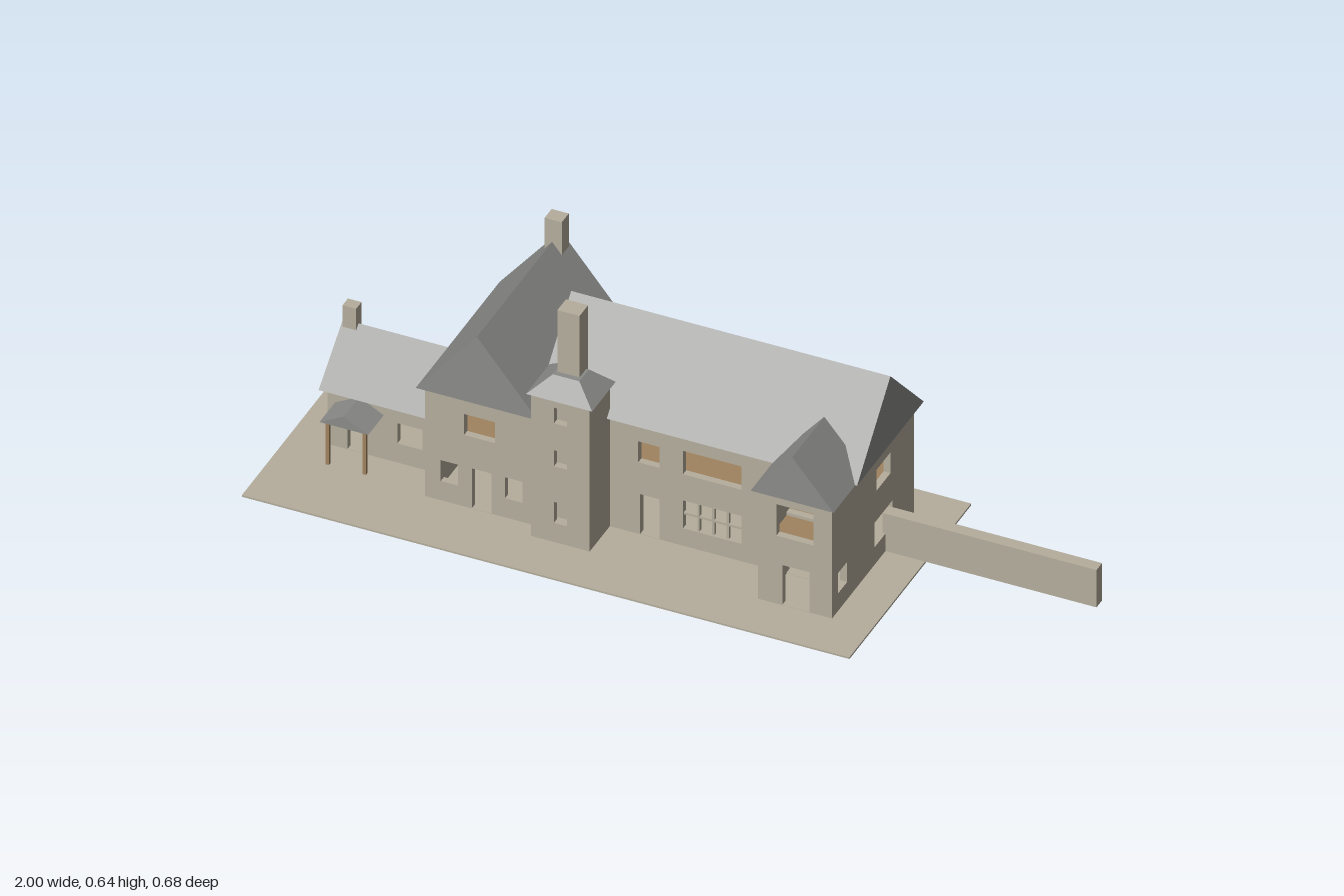
import * as THREE from 'three';

const stone = new THREE.MeshStandardMaterial({ name: 'stone', color: 0xb5ae9d });
const slate = new THREE.MeshStandardMaterial({ name: 'slate', color: 0x8b8b89 });
const timber = new THREE.MeshStandardMaterial({ name: 'timber', color: 0xa0835f });
const T = 0.018; // wall thickness

function add(parent, name, geometry, material) {
  const mesh = new THREE.Mesh(geometry, material);
  mesh.name = name;
  parent.add(mesh);
  return mesh;
}

// Box given by its extents on each axis
function block(parent, name, x0, x1, y0, y1, z0, z1, material) {
  const mesh = add(parent, name, new THREE.BoxGeometry(x1 - x0, y1 - y0, z1 - z0), material);
  mesh.position.set((x0 + x1) / 2, (y0 + y1) / 2, (z0 + z1) / 2);
  return mesh;
}

function polygon(points, Type = THREE.Shape) {
  return new Type(points.map(([x, y]) => new THREE.Vector2(x, y)));
}

// Upright panel with rectangular openings [u0, u1, y0, y1]
function panel(u0, u1, height, openings = [], depth = T) {
  const shape = polygon([[u0, 0], [u1, 0], [u1, height], [u0, height]]);
  for (const [a, b, c, d] of openings) {
    shape.holes.push(polygon([[a, c], [a, d], [b, d], [b, c]], THREE.Path));
  }
  return new THREE.ExtrudeGeometry(shape, { depth, bevelEnabled: false });
}

// Hollow building volume; a side set to null is left open
function room(parent, name, x0, x1, z0, z1, height, { front = [], back = [], left = [], right = [] }) {
  const g = new THREE.Group();
  g.name = name;
  parent.add(g);
  if (front) add(g, 'frontWall', panel(x0, x1, height, front), stone).position.z = z1 - T;
  if (back) add(g, 'backWall', panel(x0, x1, height, back), stone).position.z = z0;
  const sides = [['westWall', right, x0 + T], ['eastWall', left, x1]];
  for (const [label, openings, x] of sides) {
    if (!openings) continue;
    const wall = add(g, label, panel(z0 + (back ? T : 0), z1 - (front ? T : 0), height, openings), stone);
    wall.rotation.y = -Math.PI / 2;
    wall.position.x = x;
  }
}

// Closed gable roof; the ridge runs along 'x' or 'z'
function gableRoof(parent, name, axis, x0, x1, z0, z1, eave, ridge) {
  const [a, b, from, to] = axis === 'z' ? [x0, x1, z0, z1] : [z0, z1, x0, x1];
  const shape = polygon([[a, eave], [b, eave], [(a + b) / 2, ridge]]);
  const geometry = new THREE.ExtrudeGeometry(shape, { depth: to - from, bevelEnabled: false });
  const roof = add(parent, name, geometry, slate);
  if (axis === 'z') {
    roof.position.z = from;
  } else {
    roof.rotation.y = -Math.PI / 2;
    roof.position.x = to;
  }
}

export function createModel() {
  const house = new THREE.Group();
  house.name = 'manorHouse';

  block(house, 'ground', -1, 0.56, 0, 0.005, -0.34, 0.34, stone);
  block(house, 'gardenWall', 0.45, 1, 0.005, 0.112, -0.114, -0.083, stone);

  // Main range
  room(house, 'mainRange', -0.32, 0.458, -0.243, 0.095, 0.325, {
    front: [
      [-0.095, -0.04, 0.21, 0.27], [-0.09, -0.04, 0.006, 0.12],
      [0.02, 0.17, 0.21, 0.277], [0.02, 0.17, 0.055, 0.135],
      [0.285, 0.44, 0.006, 0.15], [0.285, 0.44, 0.18, 0.31],
    ],
    back: [
      [0.26, 0.33, 0.21, 0.268], [-0.073, -0.015, 0.21, 0.268],
      [0.36, 0.415, 0.06, 0.12], [-0.073, -0.015, 0.06, 0.12],
      [-0.25, -0.2, 0.006, 0.12],
    ],
    left: [[-0.111, -0.033, 0.21, 0.27], [-0.122, -0.023, 0.055, 0.125]],
    right: null,
  });
  gableRoof(house, 'mainRoof', 'x', -0.345, 0.475, -0.26, 0.112, 0.324, 0.517);

  // Glazing bars of the large ground floor window
  for (let i = 1; i < 4; i++) {
    const x = 0.02 + i * 0.0375;
    block(house, 'mullion', x - 0.003, x + 0.003, 0.055, 0.135, 0.08, 0.09, stone);
  }
  block(house, 'transom', 0.02, 0.17, 0.092, 0.098, 0.08, 0.09, stone);

  // Cross wing
  room(house, 'crossWing', -0.61, -0.318, -0.268, 0.165, 0.325, {
    front: [
      [-0.51, -0.43, 0.21, 0.27], [-0.49, -0.44, 0.006, 0.12],
      [-0.57, -0.525, 0.06, 0.12], [-0.405, -0.36, 0.06, 0.12],
    ],
    back: [[-0.51, -0.43, 0.21, 0.27], [-0.505, -0.435, 0.06, 0.12]],
    left: [[-0.1, -0.048, 0.006, 0.113], [-0.1, -0.05, 0.18, 0.28]],
    right: [[0.03, 0.09, 0.21, 0.27]],
  });
  gableRoof(house, 'wingRoof', 'z', -0.625, -0.311, -0.284, 0.185, 0.3235, 0.5165);
  block(house, 'wingChimney', -0.487, -0.443, 0.47, 0.58, -0.274, -0.235, stone);

  // Projecting front bay
  room(house, 'frontBay', 0.268, 0.458, 0.095, 0.215, 0.325, {
    front: [[0.315, 0.41, 0.2, 0.29], [0.33, 0.4, 0.006, 0.12]],
    back: null,
    left: [[0.131, 0.182, 0.055, 0.113]],
  });
  gableRoof(house, 'bayRoof', 'z', 0.257, 0.47, 0.053, 0.233, 0.323, 0.45);

  // Stair tower with hipped cap and tall chimney
  room(house, 'stairTower', -0.319, -0.168, 0.095, 0.207, 0.42, {
    front: [
      [-0.26, -0.227, 0.345, 0.39], [-0.26, -0.227, 0.222, 0.268],
      [-0.26, -0.227, 0.06, 0.12],
    ],
  });
  const cap = add(house, 'towerRoof',
    new THREE.CylinderGeometry(0.4 * Math.SQRT2, Math.SQRT2, 0.046, 4, 1).rotateY(Math.PI / 4).toNonIndexed(), slate);
  cap.geometry.computeVertexNormals();
  cap.scale.set(0.085, 1, 0.066);
  cap.position.set(-0.241, 0.441, 0.154);
  block(house, 'towerChimney', -0.27, -0.213, 0.44, 0.64, 0.118, 0.166, stone);

  // Low annex with chimney
  room(house, 'annex', -0.905, -0.61, -0.17, 0.07, 0.166, {
    front: [[-0.725, -0.66, 0.06, 0.118], [-0.853, -0.8, 0.006, 0.115]],
    back: [[-0.83, -0.76, 0.06, 0.118]],
    left: null,
    right: [[-0.075, -0.025, 0.06, 0.118]],
  });
  gableRoof(house, 'annexRoof', 'x', -0.92, -0.606, -0.187, 0.086, 0.165, 0.28);
  block(house, 'annexChimney', -0.915, -0.88, 0.24, 0.33, -0.067, -0.037, stone);

  // Porch on timber posts
  gableRoof(house, 'porchRoof', 'z', -0.885, -0.76, 0.065, 0.157, 0.13, 0.164);
  for (const x of [-0.87, -0.775]) {
    block(house, 'porchPost', x - 0.004, x + 0.004, 0.005, 0.131, 0.138, 0.146, timber);
  }

  // Upper floors and a timber partition inside
  block(house, 'mainFloor', -0.318, 0.44, 0.16, 0.172, -0.225, 0.077, timber);
  block(house, 'wingFloor', -0.592, -0.336, 0.16, 0.172, -0.25, 0.147, timber);
  block(house, 'bayFloor', 0.286, 0.44, 0.16, 0.172, 0.077, 0.197, timber);
  const partition = add(house, 'partition',
    panel(-0.225, 0.077, 0.16, [[-0.1, -0.048, 0.006, 0.113]], 0.01), timber);
  partition.rotation.y = -Math.PI / 2;
  partition.position.x = 0.24;

  return house;
}
